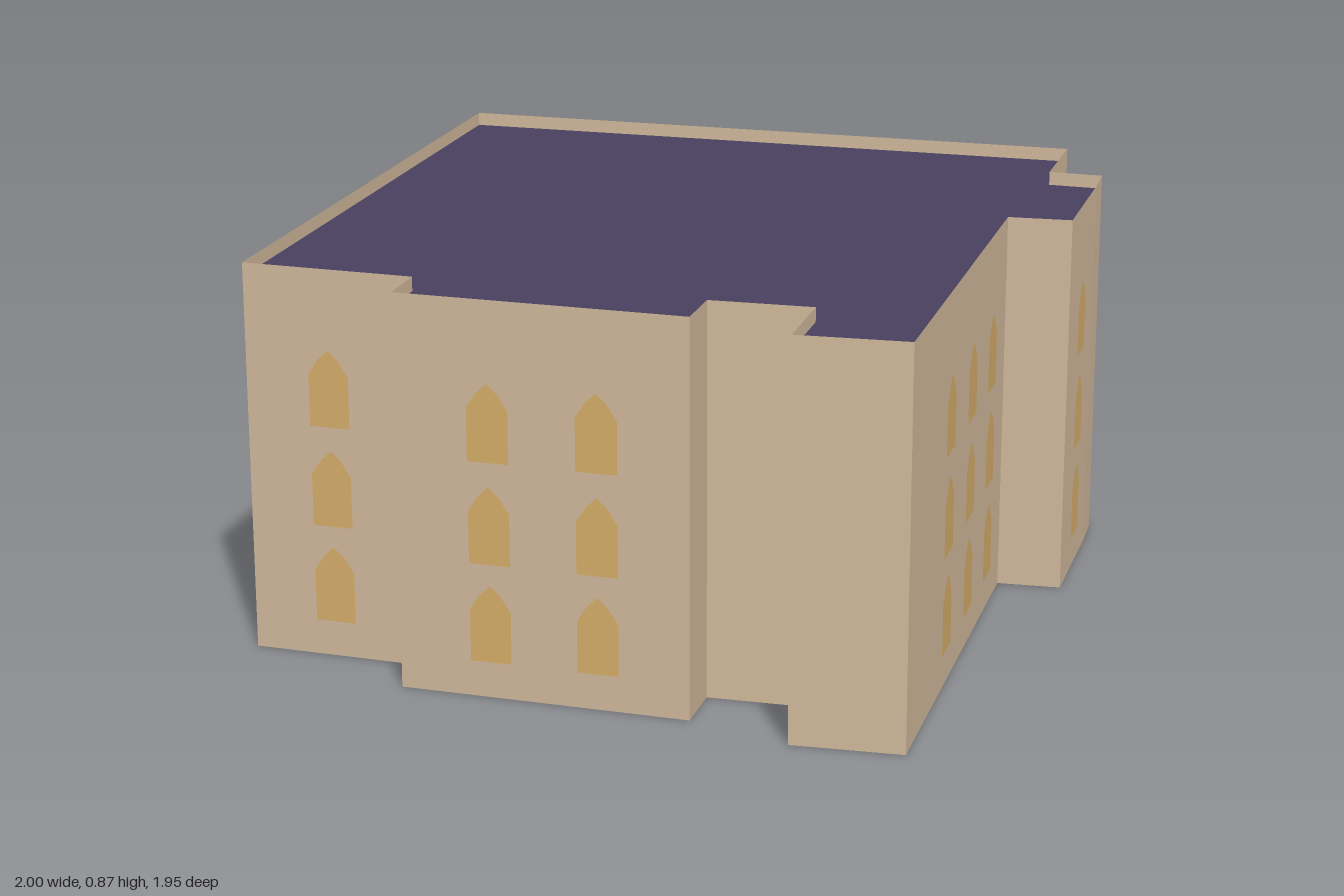
import * as THREE from 'three';

const HEIGHT = 0.867;
const ROOF_Y = 0.836;

// Footprint corners [x, z], with window positions (0..1) along the edge to the next corner
const OUTLINE = [
  { p: [-1.0, -0.44], windows: [0.12, 0.385, 0.54, 0.695, 0.846] }, // back wall
  { p: [0.4, -0.98] },
  { p: [0.487, -0.75] },
  { p: [0.605, -0.79] },
  { p: [0.645, -0.695], windows: [0.53] },                          // right bay
  { p: [0.763, -0.385] },
  { p: [0.633, -0.325], windows: [0.165, 0.39, 0.62] },             // right wall
  { p: [1.0, 0.622] },
  { p: [0.78, 0.722] },
  { p: [0.707, 0.533] },
  { p: [0.5, 0.62] },
  { p: [0.545, 0.74], windows: [0.31, 0.68] },                      // front bay
  { p: [-0.052, 0.957] },
  { p: [-0.097, 0.842], windows: [0.507] },                         // front wall
  { p: [-0.46, 0.97], windows: [0.13, 0.28, 0.43, 0.585, 0.735, 0.885] }, // left wall
];
const WINDOW_BASES = [0.08, 0.297, 0.52];

export function createModel() {
  const group = new THREE.Group();
  const wallMat = new THREE.MeshStandardMaterial({ color: 0xd2b99c, side: THREE.DoubleSide });
  wallMat.name = 'tan wall';
  const roofMat = new THREE.MeshStandardMaterial({ color: 0x4a4060, side: THREE.DoubleSide });
  roofMat.name = 'purple roof';
  const windowMat = new THREE.MeshStandardMaterial({ color: 0xd6ae6a, side: THREE.DoubleSide });
  windowMat.name = 'amber window';

  // Pointed-arch window pane
  const pane = new THREE.ShapeGeometry(new THREE.Shape([
    [-0.045, 0], [0.045, 0], [0.045, 0.115], [0.022, 0.15],
    [0, 0.17], [-0.022, 0.15], [-0.045, 0.115],
  ].map(([x, y]) => new THREE.Vector2(x, y))));

  const walls = [];
  const windows = new THREE.Group();
  windows.name = 'windows';

  OUTLINE.forEach(({ p: [ax, az], windows: spots = [] }, i) => {
    const [bx, bz] = OUTLINE[(i + 1) % OUTLINE.length].p;
    // One upright wall panel per footprint edge
    walls.push(
      bx, 0, bz, ax, 0, az, ax, HEIGHT, az,
      bx, 0, bz, ax, HEIGHT, az, bx, HEIGHT, bz,
    );
    // Three storeys of windows just proud of the wall
    const normal = new THREE.Vector3(bz - az, 0, ax - bx).normalize();
    for (const t of spots) {
      for (const y of WINDOW_BASES) {
        const mesh = new THREE.Mesh(pane, windowMat);
        mesh.name = 'window';
        mesh.position.set(ax + (bx - ax) * t, y, az + (bz - az) * t).addScaledVector(normal, 0.004);
        mesh.rotation.y = Math.atan2(normal.x, normal.z);
        windows.add(mesh);
      }
    }
  });

  // Thin open-bottomed wall shell, rising past the roof as a parapet
  const wallGeo = new THREE.BufferGeometry();
  wallGeo.setAttribute('position', new THREE.Float32BufferAttribute(walls, 3));
  wallGeo.computeVertexNormals();
  const wallMesh = new THREE.Mesh(wallGeo, wallMat);
  wallMesh.name = 'walls';

  // Flat roof set slightly below the parapet
  const roofShape = new THREE.Shape(OUTLINE.map(({ p: [x, z] }) => new THREE.Vector2(x, -z)));
  const roof = new THREE.Mesh(new THREE.ShapeGeometry(roofShape).rotateX(-Math.PI / 2), roofMat);
  roof.name = 'roof';
  roof.position.y = ROOF_Y;

  group.add(wallMesh, roof, windows);
  return group;
}
